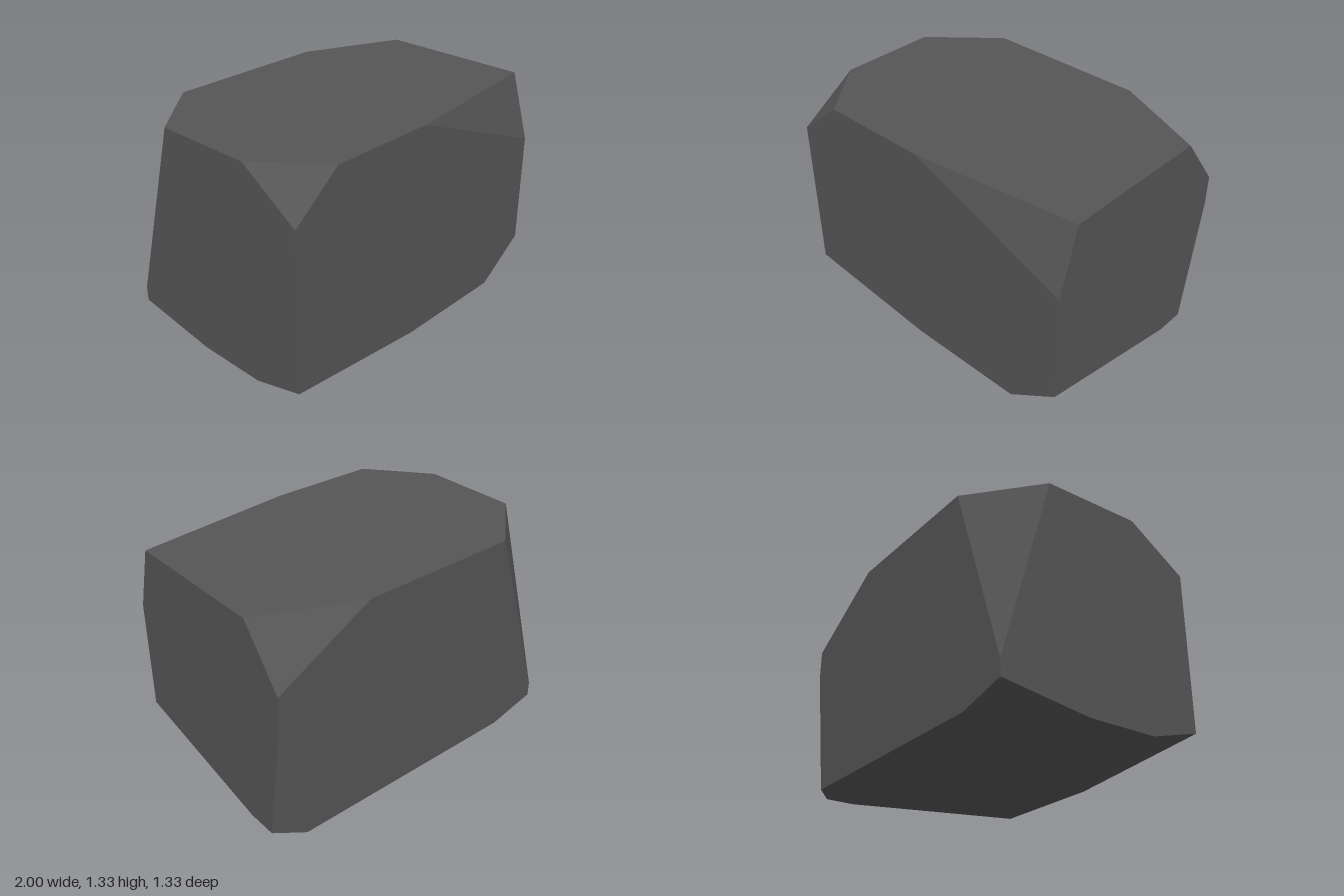
import * as THREE from 'three';
import { ConvexGeometry } from 'three/addons/geometries/ConvexGeometry.js';

// Block half sizes
const HX = 1, HY = 0.663, HZ = 0.663;

// Corner signs, then how far each chipped corner cuts along x, y and z
const chips = [
  [[-1, 1, 1], [0.30, 0.245, 0.37]],
  [[1, 1, 1], [1.02, 0.405, 0.12]],
  [[1, -1, 1], [0.32, 0.22, 1.02]],
  [[-1, -1, 1], [0.93, 0.09, 0.33]],
  [[1, 1, -1], [0.60, 0.335, 0.26]],
  [[-1, 1, -1], [0.39, 1.155, 0.34]],
  [[1, -1, -1], [0.155, 0.81, 0.12]],
  [[-1, -1, -1], [0.315, 0.077, 0.555]],
];

export function createModel() {
  const stone = new THREE.MeshStandardMaterial({ color: 0x555555, flatShading: true });
  stone.name = 'dark grey stone';

  // Each corner becomes three points, one along each of its edges
  const points = [];
  for (const [s, cut] of chips) {
    for (let axis = 0; axis < 3; axis++) {
      const p = new THREE.Vector3(s[0] * HX, s[1] * HY, s[2] * HZ);
      p.setComponent(axis, p.getComponent(axis) - s[axis] * cut[axis]);
      points.push(p);
    }
  }

  // Faceted rock body, standing on the ground
  const rock = new THREE.Mesh(new ConvexGeometry(points), stone);
  rock.name = 'rock';
  rock.position.y = HY;

  const group = new THREE.Group();
  group.name = 'chippedRock';
  group.add(rock);
  return group;
}
